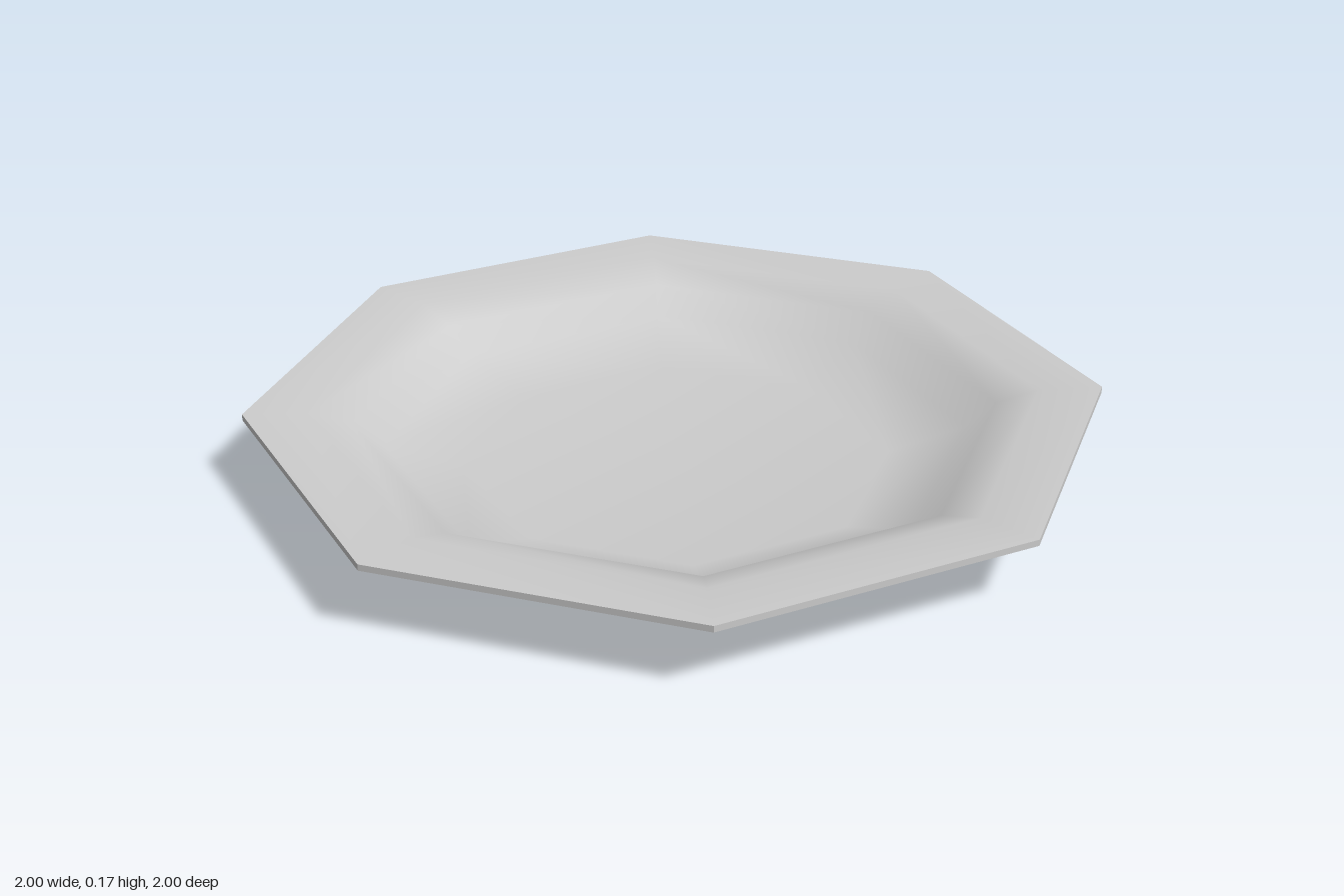
import * as THREE from 'three';

const SIDES = 8;

// Octagonal surface of revolution; corners lie on the x and z axes
function ring(name, profile, material, faceted = false) {
  const points = profile.map(([r, y]) => new THREE.Vector2(r, y));
  let geometry = new THREE.LatheGeometry(points, SIDES);
  if (faceted) {
    geometry = geometry.toNonIndexed();
    geometry.computeVertexNormals();
  }
  const mesh = new THREE.Mesh(geometry, material);
  mesh.name = name;
  return mesh;
}

export function createModel() {
  const group = new THREE.Group();
  group.name = 'plate';
  const ceramic = new THREE.MeshStandardMaterial({ color: 0xcccccc });
  ceramic.name = 'grey ceramic';

  // Underside, from the foot out to the rim
  const under = [[0, 0], [0.5, 0], [0.69, 0.06], [0.76, 0.12], [0.86, 0.15], [1, 0.155]];
  // Eating surface, from the rim in to the centre
  const upper = [[1, 0.17], [0.85, 0.167], [0.75, 0.137], [0.68, 0.077], [0.5, 0.017], [0, 0.017]];

  group.add(ring('underside', under, ceramic));
  group.add(ring('rimEdge', [[1, 0.155], [1, 0.17]], ceramic, true));
  group.add(ring('eatingSurface', upper, ceramic));
  return group;
}
